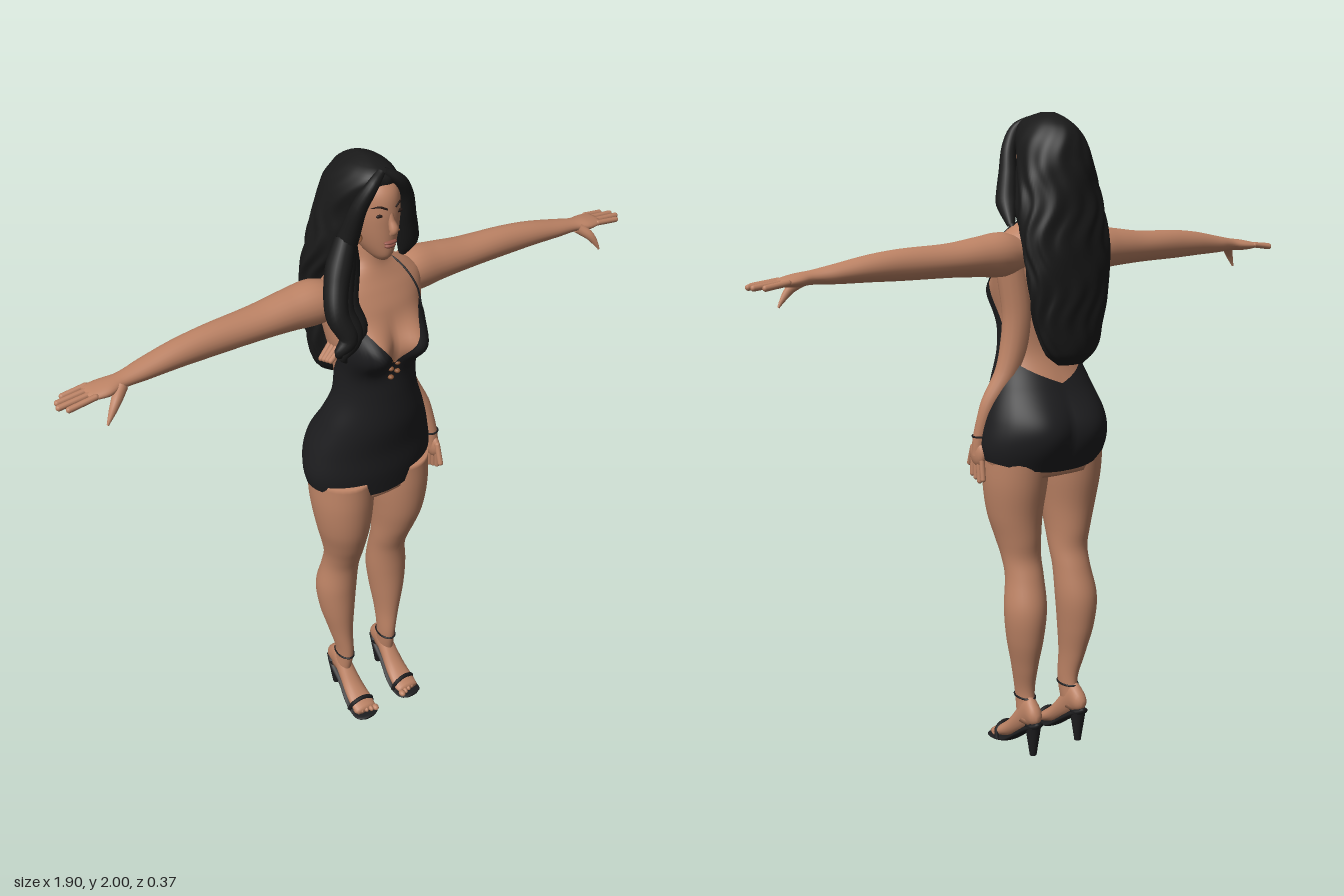
import * as THREE from 'three';

const mat = (name, color, extra = {}) => Object.assign(new THREE.MeshStandardMaterial({ color, ...extra }), { name });
const V = (a) => new THREE.Vector3(...a);

// Smooth closed grid of rings; f(v, angle) returns a point
function grid(rows, cols, f, caps = true) {
  const pos = [], idx = [];
  for (let i = 0; i <= rows; i++)
    for (let j = 0; j < cols; j++) pos.push(...f(i / rows, (j / cols) * Math.PI * 2));
  for (let i = 0; i < rows; i++)
    for (let j = 0; j < cols; j++) {
      const k = (j + 1) % cols, a = i * cols + j, b = i * cols + k, c = a + cols, d = b + cols;
      idx.push(a, c, b, b, c, d);
    }
  if (caps) for (const i of [0, rows]) {
    const m = [0, 0, 0], ci = pos.length / 3;
    for (let j = 0; j < cols; j++) for (let q = 0; q < 3; q++) m[q] += pos[(i * cols + j) * 3 + q] / cols;
    pos.push(...m);
    for (let j = 0; j < cols; j++) {
      const a = i * cols + j, b = i * cols + ((j + 1) % cols);
      if (i) idx.push(ci, b, a); else idx.push(ci, a, b);
    }
  }
  const g = new THREE.BufferGeometry();
  g.setAttribute('position', new THREE.Float32BufferAttribute(pos, 3));
  g.setIndex(idx);
  g.computeVertexNormals();
  return g;
}

// Smooth interpolation of sections [y, xMin, xMax, zBack, zFront]
function section(S, y) {
  let i = 0;
  while (i < S.length - 2 && y > S[i + 1][0]) i++;
  const a = S[i], b = S[i + 1], p = S[Math.max(i - 1, 0)], q = S[Math.min(i + 2, S.length - 1)];
  const h = b[0] - a[0], t = (y - a[0]) / h, t2 = t * t, t3 = t2 * t;
  return a.map((_, k) => {
    const m0 = ((b[k] - p[k]) / (b[0] - p[0])) * h, m1 = ((q[k] - a[k]) / (q[0] - a[0])) * h;
    return (2 * t3 - 3 * t2 + 1) * a[k] + (t3 - 2 * t2 + t) * m0 + (3 * t2 - 2 * t3) * b[k] + (t3 - t2) * m1;
  });
}
function ringPoint(S, y, a, off = 0, wave = 1) {
  const [, x0, x1, z0, z1] = section(S, y);
  return [(x0 + x1) / 2 + ((x1 - x0) / 2 + off) * wave * Math.cos(a), y,
    (z0 + z1) / 2 + ((z1 - z0) / 2 + off) * wave * Math.sin(a)];
}
const loft = (S, rows = 40, cols = 28, wave = () => 1) => grid(rows, cols, (v, a) => {
  const y = S[0][0] + v * (S[S.length - 1][0] - S[0][0]);
  return ringPoint(S, y, a, 0, wave(a, y));
});
const sym = (S) => S.map(([y, w, b, f]) => [y, -w, w, b, f]);

// Tapered tube through points
function strand(points, radii, sides = 14) {
  const g = new THREE.TubeGeometry(new THREE.CatmullRomCurve3(points.map(V)), 32, 1, sides);
  const p = g.attributes.position, n = g.attributes.normal, u = g.attributes.uv;
  for (let i = 0; i < p.count; i++) {
    const t = u.getX(i) * (radii.length - 1), k = Math.min(Math.floor(t), radii.length - 2);
    const d = THREE.MathUtils.lerp(radii[k], radii[k + 1], t - k) - 1;
    p.setXYZ(i, p.getX(i) + n.getX(i) * d, p.getY(i) + n.getY(i) * d, p.getZ(i) + n.getZ(i) * d);
  }
  return g;
}
// Rounded rod between two points
function rod(a, b, r) {
  const A = V(a), B = V(b), d = B.clone().sub(A);
  const g = new THREE.CapsuleGeometry(r, d.length(), 5, 10);
  g.applyQuaternion(new THREE.Quaternion().setFromUnitVectors(new THREE.Vector3(0, 1, 0), d.normalize()));
  return g.translate(...A.add(B).multiplyScalar(0.5).toArray());
}
const ball = (p, sx, sy, sz) => new THREE.SphereGeometry(1, 18, 12).scale(sx, sy, sz).translate(...p);
function mirrored(geo) {
  const g = geo.clone().scale(-1, 1, 1), ix = g.index.array;
  for (let i = 0; i < ix.length; i += 3) [ix[i], ix[i + 1]] = [ix[i + 1], ix[i]];
  return g;
}

const TORSO = sym([
  [0.93, 0.188, -0.1, 0.11], [1.02, 0.211, -0.116, 0.122], [1.1, 0.198, -0.115, 0.125], [1.2, 0.162, -0.085, 0.137],
  [1.3, 0.128, -0.055, 0.132], [1.4, 0.13, -0.06, 0.125], [1.5, 0.15, -0.075, 0.125], [1.58, 0.163, -0.085, 0.113],
  [1.63, 0.165, -0.085, 0.09], [1.665, 0.125, -0.07, 0.07], [1.7, 0.062, -0.05, 0.055], [1.75, 0.047, -0.045, 0.048], [1.8, 0.045, -0.04, 0.04],
]);
// Torso surface with bust and seat bulges
function torsoPoint(a, y, off = 0) {
  const p = ringPoint(TORSO, y, a, off), s = Math.sin(a);
  const bulge = (cx, cy, r) => Math.exp(-(((Math.abs(p[0]) - cx) / r) ** 2 + ((y - cy) / r) ** 2) / 2);
  if (s > 0) p[2] += 0.07 * Math.min(1, s * 2) * bulge(0.076, 1.47, 0.043);
  else p[2] -= 0.043 * Math.min(1, -s * 2) * bulge(0.085, 1.07, 0.075);
  return p;
}
// Upper dress edge by angle away from the front
const EDGE = [[0, 1.42], [0.45, 1.51], [0.72, 1.575], [1.15, 1.49], [1.6, 1.39], [2.2, 1.27], [3.15, 1.21]];
function edgeHeight(phi) {
  let i = 0;
  while (i < EDGE.length - 2 && phi > EDGE[i + 1][0]) i++;
  const [a, b] = [EDGE[i], EDGE[i + 1]];
  return THREE.MathUtils.mapLinear(phi, a[0], b[0], a[1], b[1]);
}

export function createModel() {
  const root = new THREE.Group();
  const skin = mat('skin', 0xbd8365, { side: THREE.DoubleSide });
  const black = mat('dress black', 0x1d1d1f, { side: THREE.DoubleSide });
  const hairMat = mat('hair black', 0x191919, { side: THREE.DoubleSide });
  const dark = mat('eye dark', 0x2a1c18), lip = mat('lip', 0x96564a), gold = mat('bronze', 0x8a5636);
  const add = (name, geo, m) => {
    const mesh = new THREE.Mesh(geo, m);
    mesh.name = name;
    root.add(mesh);
  };
  const pair = (name, geo, m) => { add('left ' + name, geo, m); add('right ' + name, mirrored(geo), m); };

  // Body and dress
  add('torso', grid(90, 72, (v, a) => torsoPoint(a, 0.93 + 0.87 * v)), skin);
  add('dress', grid(60, 96, (v, a) => {
    let phi = Math.abs(a - Math.PI / 2);
    if (phi > Math.PI) phi = 2 * Math.PI - phi;
    const hem = 0.945 + 0.035 * Math.sin(phi) ** 2;
    return torsoPoint(a, hem + v * (edgeHeight(phi) - hem), 0.006);
  }, false), black);
  pair('shoulder strap', strand([[0.108, 1.56, 0.115], [0.1, 1.62, 0.1], [0.075, 1.68, 0.045], [0.03, 1.71, -0.045]], [0.003, 0.003], 6), black);
  for (let i = 0; i < 5; i++) add('bust clasp', ball([(i % 2 ? 1 : -1) * 0.011, 1.375 + i * 0.014, 0.137], 0.009, 0.007, 0.01), gold);

  // Legs
  pair('leg', loft([
    [0.11, 0.065, 0.115, -0.075, 0.015], [0.2, 0.06, 0.112, -0.052, 0.03], [0.3, 0.057, 0.132, -0.075, 0.03],
    [0.4, 0.045, 0.155, -0.1, 0.034], [0.5, 0.034, 0.165, -0.107, 0.036], [0.6, 0.032, 0.152, -0.082, 0.043],
    [0.66, 0.03, 0.153, -0.067, 0.063], [0.72, 0.028, 0.165, -0.072, 0.088], [0.8, 0.02, 0.185, -0.08, 0.112],
    [0.9, 0.008, 0.199, -0.098, 0.122], [1.0, 0.002, 0.2, -0.11, 0.12]], 60, 32), skin);

  // Feet and heeled sandals, sections run along z with heights negated
  const along = (S) => loft(S, 30, 20).rotateX(Math.PI / 2);
  pair('foot', along([[-0.092, 0.08, 0.1, -0.15, -0.125], [-0.08, 0.068, 0.112, -0.17, -0.112], [-0.04, 0.063, 0.115, -0.2, -0.092],
    [0, 0.06, 0.117, -0.155, -0.062], [0.05, 0.052, 0.124, -0.092, -0.026], [0.1, 0.047, 0.129, -0.05, -0.01], [0.128, 0.052, 0.126, -0.034, -0.01]]), skin);
  for (let i = 0; i < 5; i++)
    pair('toe', ball([0.057 + i * 0.016, 0.021, 0.135 - i * 0.006], i ? 0.008 : 0.011, 0.01, 0.014), skin);
  pair('sole', along([[-0.095, 0.075, 0.105, -0.125, -0.105], [-0.06, 0.062, 0.118, -0.114, -0.085], [0, 0.058, 0.119, -0.07, -0.045],
    [0.05, 0.048, 0.128, -0.032, -0.01], [0.1, 0.043, 0.134, -0.013, 0], [0.14, 0.05, 0.13, -0.012, 0], [0.152, 0.07, 0.11, -0.011, -0.002]]), black);
  pair('shoe heel', new THREE.CylinderGeometry(0.027, 0.011, 0.108, 16).translate(0.09, 0.056, -0.062), black);
  pair('ankle strap', new THREE.TorusGeometry(1, 0.1, 8, 28).rotateX(Math.PI / 2).scale(0.027, 0.035, 0.042).translate(0.086, 0.19, -0.012), black);
  pair('toe strap', strand([[0.045, 0.012, 0.095], [0.055, 0.042, 0.1], [0.088, 0.056, 0.1], [0.122, 0.042, 0.095], [0.132, 0.012, 0.085]], [0.007, 0.007], 8), black);

  // Arms held out, sections run along x with heights negated
  pair('arm', loft([
    [0.1, -1.645, -1.55, -0.07, 0.05], [0.17, -1.664, -1.535, -0.085, 0.05], [0.25, -1.655, -1.54, -0.083, 0.042],
    [0.35, -1.642, -1.545, -0.075, 0.036], [0.5, -1.636, -1.547, -0.06, 0.03], [0.6, -1.625, -1.55, -0.052, 0.03],
    [0.7, -1.606, -1.552, -0.04, 0.03], [0.77, -1.593, -1.555, -0.026, 0.03], [0.81, -1.588, -1.552, -0.036, 0.042],
    [0.85, -1.58, -1.555, -0.04, 0.037], [0.865, -1.575, -1.56, -0.036, 0.032]], 60, 24).rotateZ(-Math.PI / 2), skin);
  [0.915, 0.938, 0.943, 0.925].forEach((x, i) => {
    const z = -0.033 + i * 0.021;
    pair('finger', rod([0.85, 1.569, z], [x, 1.56, z * 1.05], 0.0085), skin);
  });
  pair('thumb', strand([[0.775, 1.57, 0.022], [0.805, 1.545, 0.045], [0.83, 1.51, 0.055], [0.84, 1.493, 0.057]], [0.017, 0.015, 0.01, 0.003]), skin);

  // Lowered arm at the left hip and small hand at the right side
  add('lowered arm', strand([[0.12, 1.56, -0.005], [0.105, 1.4, -0.005], [0.13, 1.25, 0.01], [0.185, 1.14, 0.035], [0.205, 1.04, 0.052], [0.208, 0.99, 0.055]],
    [0.05, 0.046, 0.042, 0.033, 0.022, 0.021]), skin);
  add('lowered palm', ball([0.21, 0.995, 0.055], 0.017, 0.04, 0.036), skin);
  for (let i = 0; i < 4; i++)
    add('lowered finger', rod([0.211, 0.98, 0.032 + i * 0.016], [0.214, 0.912 + Math.abs(i - 1) * 0.008, 0.022 + i * 0.019], 0.0085), skin);
  add('lowered thumb', rod([0.208, 1.01, 0.085], [0.205, 0.955, 0.108], 0.009), skin);
  add('bracelet', new THREE.TorusGeometry(0.025, 0.003, 6, 24).rotateX(Math.PI / 2).translate(0.203, 1.05, 0.05), black);
  for (let i = 0; i < 4; i++)
    add('side finger', rod([-0.135, 1.48, 0.02 + i * 0.016], [-0.172, 1.435 + i * 0.006, 0.022 + i * 0.017], 0.008), skin);

  // Head and face
  add('head', loft(sym([[1.728, 0.018, 0.035, 0.092], [1.745, 0.034, -0.02, 0.107], [1.78, 0.052, -0.05, 0.113], [1.83, 0.064, -0.06, 0.116],
    [1.88, 0.068, -0.07, 0.117], [1.93, 0.063, -0.065, 0.107], [1.965, 0.042, -0.04, 0.07], [1.975, 0.02, -0.02, 0.04]]), 40, 36), skin);
  add('nose', strand([[0, 1.885, 0.108], [0, 1.855, 0.116], [0, 1.83, 0.127], [0, 1.815, 0.117]], [0.006, 0.009, 0.014, 0.006]), skin);
  add('upper lip', ball([0, 1.79, 0.112], 0.021, 0.006, 0.01), lip);
  add('lower lip', ball([0, 1.78, 0.111], 0.018, 0.007, 0.01), lip);
  pair('eye', ball([0.029, 1.872, 0.106], 0.014, 0.005, 0.005), dark);
  pair('eyebrow', strand([[0.012, 1.89, 0.115], [0.032, 1.898, 0.107], [0.049, 1.892, 0.09]], [0.003, 0.003, 0.001], 6), dark);
  pair('earring', new THREE.TorusGeometry(0.013, 0.003, 6, 20).translate(0.068, 1.795, 0.055), gold);

  // Long wavy hair
  add('hair', loft([
    [1.275, -0.05, 0.04, -0.145, -0.1], [1.31, -0.095, 0.08, -0.165, -0.075], [1.4, -0.125, 0.115, -0.175, -0.06],
    [1.5, -0.14, 0.135, -0.181, -0.055], [1.6, -0.15, 0.145, -0.18, -0.045], [1.7, -0.148, 0.146, -0.174, 0],
    [1.8, -0.13, 0.13, -0.163, 0.035], [1.86, -0.116, 0.116, -0.156, 0.05], [1.92, -0.098, 0.098, -0.143, 0.082],
    [1.96, -0.073, 0.073, -0.118, 0.093], [1.985, -0.046, 0.046, -0.08, 0.068], [2.0, -0.012, 0.012, -0.045, 0.012]], 110, 96,
    (a, y) => 1 + 0.025 * Math.min(1, (2 - y) * 4) * Math.sin(a * 13 + 2.5 * Math.sin(y * 26)) + 0.012 * Math.sin(a * 5 + y * 40)), hairMat);
  pair('face lock', strand([[0.004, 1.977, 0.072], [0.04, 1.953, 0.085], [0.073, 1.9, 0.075], [0.092, 1.82, 0.055], [0.11, 1.74, 0.035], [0.118, 1.68, 0.005]],
    [0.012, 0.02, 0.024, 0.03, 0.034, 0.012]), hairMat);
  [[0, 0], [0.03, -0.02], [-0.022, 0.012]].forEach(([dx, dz], i) =>
    add('shoulder lock', strand([[-0.1, 1.8, 0.045], [-0.128 + dx, 1.7, 0.065 + dz], [-0.15 + dx, 1.62, 0.1 + dz],
      [-0.132 + dx, 1.55, 0.125 + dz], [-0.158 + dx, 1.485 + i * 0.012, 0.115 + dz], [-0.142 + dx, 1.455 + i * 0.015, 0.105 + dz]],
      [0.03, 0.038, 0.035, 0.033, 0.026, 0.004]), hairMat));
  return root;
}
